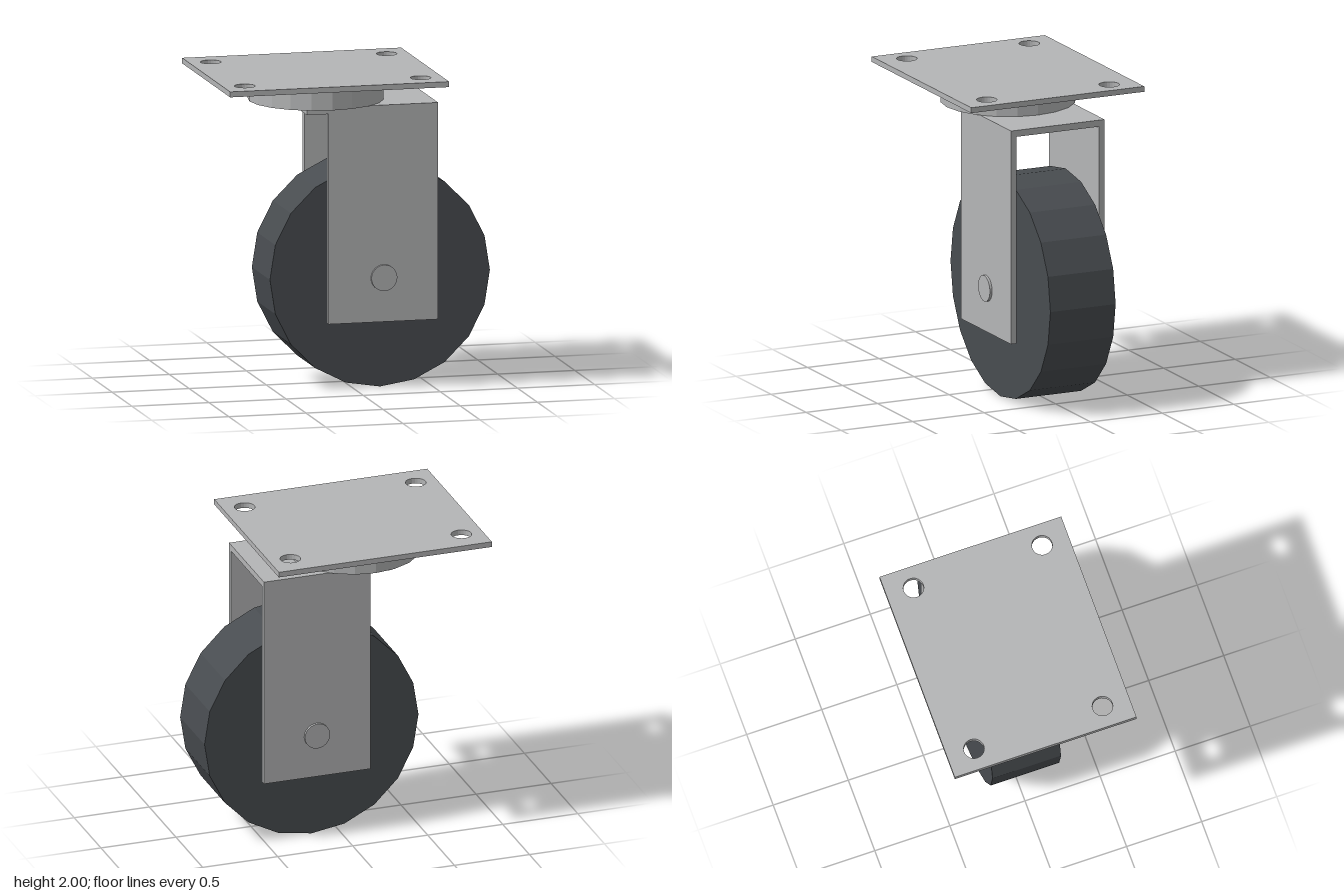
import * as THREE from 'three';

export function createModel() {
  const model = new THREE.Group();
  model.name = 'casterWheel';

  const steel = new THREE.MeshStandardMaterial({ color: 0xb4b5b6, flatShading: true });
  steel.name = 'galvanised steel';
  const rubber = new THREE.MeshStandardMaterial({ color: 0x484c50, flatShading: true });
  rubber.name = 'dark rubber';

  function add(name, geometry, material, x, y, z) {
    const mesh = new THREE.Mesh(geometry, material);
    mesh.name = name;
    mesh.position.set(x, y, z);
    model.add(mesh);
    return mesh;
  }

  // Cylinder lying along z, with a vertex at the bottom
  const roller = (radius, width, sides) =>
    new THREE.CylinderGeometry(radius, radius, width, sides).rotateX(Math.PI / 2);

  // Mounting plate with four bolt holes
  const outline = new THREE.Shape([
    new THREE.Vector2(-0.71, -0.605), new THREE.Vector2(0.71, -0.605),
    new THREE.Vector2(0.71, 0.605), new THREE.Vector2(-0.71, 0.605),
  ]);
  for (const sx of [-1, 1]) {
    for (const sz of [-1, 1]) {
      const hole = new THREE.Path();
      hole.absarc(sx * 0.57, sz * 0.428, 0.065, 0, Math.PI * 2, true);
      outline.holes.push(hole);
    }
  }
  const plate = new THREE.ExtrudeGeometry(outline, { depth: 0.035, bevelEnabled: false, curveSegments: 12 });
  plate.rotateX(-Math.PI / 2);
  add('mountingPlate', plate, steel, -0.18, 1.965, 0);

  // Swivel bearing under the plate
  add('swivelBearing', new THREE.CylinderGeometry(0.428, 0.428, 0.15, 20), steel, -0.18, 1.892, 0);

  // Fork: crown and two legs
  add('forkCrown', new THREE.BoxGeometry(0.85, 0.042, 0.652), steel, 0.105, 1.796, 0);
  for (const side of [-1, 1]) {
    add(side > 0 ? 'frontForkLeg' : 'backForkLeg',
      new THREE.BoxGeometry(0.71, 1.384, 0.04), steel, 0.175, 1.125, side * 0.307);
  }

  // Wheel, hub and axle
  add('wheel', roller(0.713, 0.456, 20), rubber, 0.178, 0.715, 0);
  add('hub', roller(0.215, 0.514, 20), steel, 0.178, 0.715, 0);
  add('axle', roller(0.084, 0.686, 24), steel, 0.178, 0.715, 0);

  return model;
}
